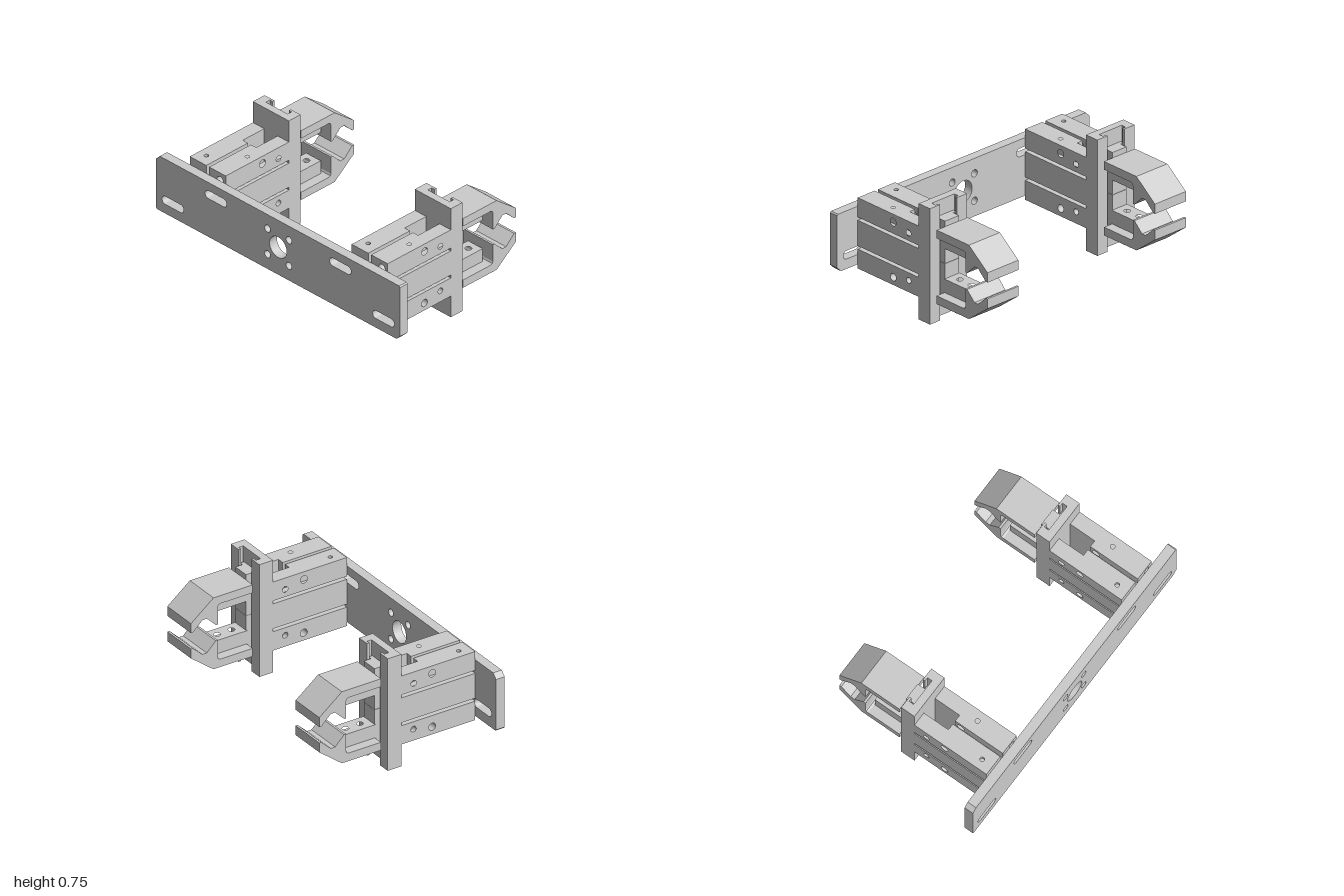
import * as THREE from 'three';

const MID = 0.3725; // height of the grippers' plane of symmetry
const grey = new THREE.MeshStandardMaterial({ color: 0xcccccc });

function polygon(points, holes = []) {
  const shape = new THREE.Shape(points.map(([a, b]) => new THREE.Vector2(a, b)));
  for (const [a, b, r] of holes) {
    const path = new THREE.Path();
    path.absarc(a, b, r, 0, Math.PI * 2, true);
    shape.holes.push(path);
  }
  return shape;
}
const rect = (a0, a1, b0, b1) => [[a0, b0], [a1, b0], [a1, b1], [a0, b1]];

function add(parent, name, geometry) {
  const mesh = new THREE.Mesh(geometry, grey);
  mesh.name = name;
  parent.add(mesh);
  return mesh;
}
const extrude = (shape, depth) =>
  new THREE.ExtrudeGeometry(shape, { depth, bevelEnabled: false, curveSegments: 16 });

// outline in (x, z), raised from y0 to y1
function extrudeY(points, holes, y0, y1) {
  const shape = polygon(points.map(([x, z]) => [x, -z]), holes.map(([x, z, r]) => [x, -z, r]));
  return extrude(shape, Math.abs(y1 - y0)).rotateX(-Math.PI / 2).translate(0, Math.min(y0, y1), 0);
}
// outline in (z, y), running from x0 to x1
function extrudeX(points, holes, x0, x1) {
  const shape = polygon(points.map(([z, y]) => [-z, y]), holes.map(([z, y, r]) => [-z, y, r]));
  return extrude(shape, Math.abs(x1 - x0)).rotateY(Math.PI / 2).translate(Math.min(x0, x1), 0, 0);
}
// outline in (x, y), running from z0 to z1
const extrudeZ = (points, holes, z0, z1) =>
  extrude(polygon(points, holes), z1 - z0).translate(0, 0, z0);

function mountingPlate() {
  const c = 0.03, e = 0.008, y0 = 0.172, y1 = 0.545;
  const shape = polygon([
    [-1 + e, y0], [1 - c, y0], [1, y0 + c], [1, y1 - e],
    [1 - e, y1], [-1 + c, y1], [-1, y1 - c], [-1, y0 + e],
  ], [
    [0, 0.36, 0.07],
    ...[-1, 1].flatMap(i => [-1, 1].map(j => [i * 0.088, 0.36 + j * 0.088, 0.023])),
  ]);
  for (const [x, y] of [[-0.863, 0.262], [-0.51, 0.462], [0.51, 0.462], [0.863, 0.262]]) {
    const r = 0.027, h = 0.0885 - r, slot = new THREE.Path();
    slot.absarc(x + h, y, r, Math.PI / 2, -Math.PI / 2, true);
    slot.absarc(x - h, y, r, -Math.PI / 2, -Math.PI * 1.5, true);
    slot.closePath();
    shape.holes.push(slot);
  }
  return extrude(shape, 0.06).translate(0, 0, 0.505);
}

function gripper() {
  const g = new THREE.Group();
  g.name = 'gripper';
  const W = 0.1475, P = 0.055, Z0 = -0.01, ZP = 0.165, Z1 = 0.505;

  // body halves either side of the central pocket, in layers that leave the side grooves
  const half = (s, inner, outer) => [
    [s * inner, ZP], [s * P, ZP], [s * P, Z0], [s * outer, Z0], [s * outer, Z1], [s * inner, Z1],
  ];
  for (const s of [-1, 1]) {
    add(g, 'bodyMiddle', extrudeY(half(s, 0, W), [], 0.29, 0.455));
    for (const v of [-1, 1]) {
      const Y = y => MID + v * (y - MID);
      add(g, 'grooveCore', extrudeY(half(s, 0, W - 0.05), [], Y(0.455), Y(0.475)));
      add(g, 'bodyCap', extrudeY(half(s, 0.012, W),
        [[s * 0.0875, s < 0 ? 0.43 : 0.27, 0.014]], Y(0.577), Y(0.6)));
      // side walls with a through hole and a blind hole
      const through = [0.205, Y(0.55), 0.024];
      add(g, 'bodySide', extrudeX(rect(Z0, 0.46, Y(0.475), Y(0.577)),
        [through, [0.075, Y(0.525), 0.019]], s * P, s * W));
      add(g, 'bodyInner', extrudeX(rect(ZP, 0.46, Y(0.475), Y(0.577)), [through], s * 0.012, s * P));
      const plug = add(g, 'blindHoleFloor', new THREE.CylinderGeometry(0.0192, 0.0192, 0.06, 24));
      plug.rotation.z = Math.PI / 2;
      plug.position.set(s * (P + 0.03), Y(0.525), 0.075);
      // end block with a port
      add(g, 'bodyEnd', extrudeZ(rect(s * 0.012, s * W, Y(0.475), Y(0.577)),
        s > 0 ? [[0.1, Y(0.55), 0.024]] : [], 0.46, Z1));
    }
  }
  // floors of the central top and bottom grooves
  for (const v of [-1, 1]) {
    const Y = y => MID + v * (y - MID);
    add(g, 'grooveFloor', extrudeY(rect(-0.012, 0.012, ZP, Z1), [], Y(0.475), Y(0.522)));
  }

  // guide rail with a T-shaped channel along its back
  add(g, 'guideRail', extrudeY([
    [-W, Z0], [W, Z0], [W, -0.105], [0.066, -0.105], [0.066, -0.09], [0.09, -0.09], [0.09, -0.058],
    [-0.09, -0.058], [-0.09, -0.09], [-0.066, -0.09], [-0.066, -0.105], [-W, -0.105],
  ], [], 0, 0.745));

  for (const v of [-1, 1]) {
    const Y = y => MID + v * (y - MID);
    // slider that runs in the channel
    add(g, 'slider', extrudeY([
      [-0.08, -0.06], [0.08, -0.06], [0.08, -0.085], [0.055, -0.085], [0.055, -0.135],
      [-0.055, -0.135], [-0.055, -0.085], [-0.08, -0.085],
    ], [], Y(0.3735), Y(0.645)));
    // bolted finger
    add(g, 'finger', extrudeY(rect(-0.06, 0.06, -0.357, -0.13),
      [[0, -0.2, 0.02], [0, -0.3, 0.02]], Y(0.47), Y(0.558)));
    // notched jaw
    add(g, 'jaw', extrudeX([
      [-0.135, 0.61], [-0.408, 0.61], [-0.565, 0.488], [-0.565, 0.425], [-0.551, 0.425],
      [-0.485, 0.487], [-0.455, 0.487], [-0.392, 0.425], [-0.378, 0.425], [-0.378, 0.54],
      [-0.373, 0.552], [-0.36, 0.557], [-0.135, 0.557],
    ].map(([z, y]) => [z, Y(y)]), [], -0.1225, 0.1225));
  }
  return g;
}

export function createModel() {
  const model = new THREE.Group();
  model.name = 'dualGripper';
  add(model, 'mountingPlate', mountingPlate());
  for (const [name, x] of [['rightGripper', -0.637], ['leftGripper', 0.69]]) {
    const g = gripper();
    g.name = name;
    g.position.x = x;
    model.add(g);
  }
  return model;
}
